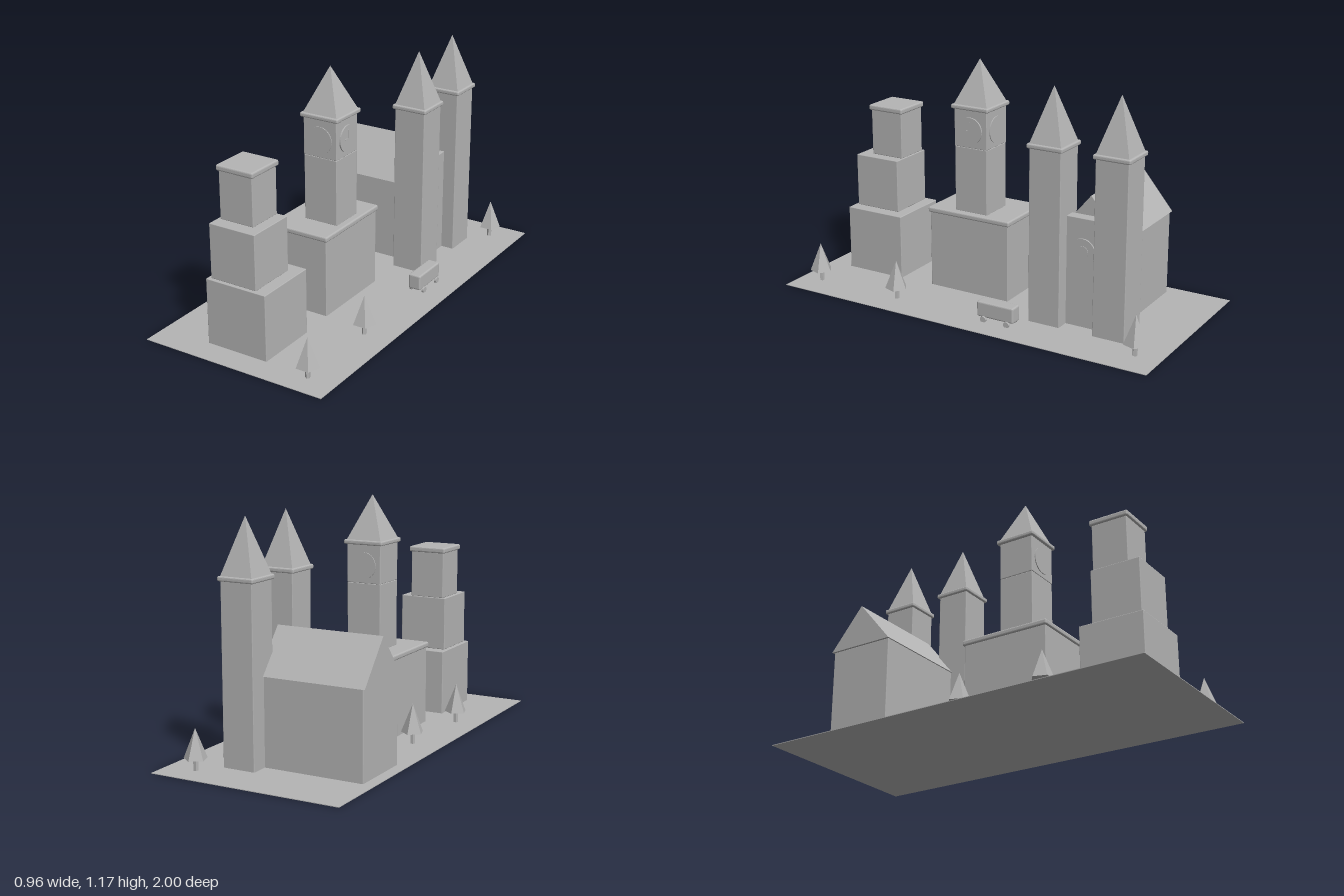
import * as THREE from 'three';
import { RoundedBoxGeometry } from 'three/addons/geometries/RoundedBoxGeometry.js';

const stone = new THREE.MeshStandardMaterial({ color: 0xb4b4b4, flatShading: true });
stone.name = 'stone';

function add(parent, name, geometry, x = 0, y = 0, z = 0) {
  const mesh = new THREE.Mesh(geometry, stone);
  mesh.name = name;
  mesh.position.set(x, y, z);
  parent.add(mesh);
  return mesh;
}

// Softly bevelled block given by its limits on each axis
function block(parent, name, [x0, x1], [y0, y1], [z0, z1], bevel = 0.003) {
  const geometry = new RoundedBoxGeometry(x1 - x0, y1 - y0, z1 - z0, 2, bevel);
  return add(parent, name, geometry, (x0 + x1) / 2, (y0 + y1) / 2, (z0 + z1) / 2);
}

// Square block centred on x, z
function column(parent, name, x, z, half, y0, y1, bevel) {
  return block(parent, name, [x - half, x + half], [y0, y1], [z - half, z + half], bevel);
}

function spire(parent, x, z, half, y0, y1) {
  const geometry = new THREE.ConeGeometry(half * Math.SQRT2, y1 - y0, 4).rotateY(Math.PI / 4);
  add(parent, 'spire', geometry, x, (y0 + y1) / 2, z);
}

function group(parent, name) {
  const g = new THREE.Group();
  g.name = name;
  parent.add(g);
  return g;
}

function createModel() {
  const model = group(new THREE.Group(), 'cityBlock');
  model.removeFromParent();

  add(model, 'ground', new THREE.BoxGeometry(0.96, 0.003, 2), 0, 0.0015, 0);

  // Stepped tower at the front
  const stepped = group(model, 'steppedTower');
  block(stepped, 'lowerTier', [-0.22, 0.105], [0, 0.33], [0.55, 0.873]);
  block(stepped, 'middleTier', [-0.202, 0.045], [0.33, 0.6], [0.607, 0.857]);
  block(stepped, 'upperTier', [-0.187, -0.007], [0.6, 0.835], [0.612, 0.793]);
  block(stepped, 'cap', [-0.197, 0.003], [0.833, 0.861], [0.602, 0.803], 0.008);

  // Clock tower on its broad base
  const clock = group(model, 'clockTower');
  const cx = -0.021, cz = 0.15;
  block(clock, 'base', [-0.212, 0.095], [0, 0.392], [-0.072, 0.372]);
  block(clock, 'baseCornice', [-0.221, 0.104], [0.39, 0.417], [-0.082, 0.381], 0.008);
  column(clock, 'shaft', cx, cz, 0.09, 0.415, 0.745);
  column(clock, 'clockStage', cx, cz, 0.091, 0.745, 0.935);
  column(clock, 'cornice', cx, cz, 0.104, 0.933, 0.955, 0.007);
  spire(clock, cx, cz, 0.092, 0.955, 1.17);
  for (const side of [1, -1]) {
    const face = new THREE.CylinderGeometry(0.066, 0.066, 0.008, 32).rotateX(Math.PI / 2);
    add(clock, 'clockFace', face, cx, 0.832, cz + side * 0.091);
  }
  const sideFace = new THREE.CylinderGeometry(0.066, 0.066, 0.012, 32).rotateZ(Math.PI / 2);
  add(clock, 'clockFace', sideFace, 0.071, 0.832, cz);
  add(clock, 'minuteHand', new THREE.BoxGeometry(0.004, 0.046, 0.006), 0.078, 0.853, cz);
  add(clock, 'hourHand', new THREE.BoxGeometry(0.004, 0.006, 0.032), 0.078, 0.832, cz + 0.014);

  // Church: hall, twin towers and the front wall between them
  const church = group(model, 'church');
  block(church, 'hall', [-0.424, 0.095], [0, 0.427], [-0.688, -0.362]);
  const gable = new THREE.Shape([[-0.17, 0], [0.17, 0], [0, 0.205]].map(p => new THREE.Vector2(...p)));
  const roof = new THREE.ExtrudeGeometry(gable, { depth: 0.54, bevelEnabled: false }).rotateY(Math.PI / 2);
  add(church, 'hallRoof', roof, -0.435, 0.425, -0.525);
  block(church, 'frontWall', [0.12, 0.176], [0, 0.54], [-0.62, -0.43]);
  const rose = new THREE.CylinderGeometry(0.065, 0.065, 0.012, 32).rotateZ(Math.PI / 2);
  add(church, 'roundWindow', rose, 0.177, 0.378, -0.525);
  add(church, 'windowBoss', new THREE.CylinderGeometry(0.03, 0.03, 0.004, 24).rotateZ(Math.PI / 2), 0.184, 0.378, -0.525);
  for (const z of [-0.357, -0.695]) {
    const tower = group(church, 'bellTower');
    column(tower, 'shaft', 0.161, z, 0.082, 0, 0.856);
    column(tower, 'cornice', 0.161, z, 0.093, 0.854, 0.877, 0.007);
    spire(tower, 0.161, z, 0.082, 0.876, 1.14);
  }

  // Five-sided trees
  for (const [x, z] of [[0.327, -0.873], [-0.33, -0.017], [-0.35, 0.437], [0.335, 0.418], [0.335, 0.884]]) {
    const tree = group(model, 'tree');
    add(tree, 'trunk', new THREE.CylinderGeometry(0.012, 0.012, 0.06, 5), x, 0.03, z);
    add(tree, 'foliage', new THREE.ConeGeometry(0.056, 0.142, 5).rotateY(Math.PI), x, 0.129, z);
  }

  // Parked bus
  const bus = group(model, 'bus');
  block(bus, 'body', [0.294, 0.358], [0.023, 0.1], [-0.258, -0.06], 0.008);
  for (const x of [0.292, 0.36]) {
    for (const z of [-0.225, -0.098]) {
      add(bus, 'wheel', new THREE.CylinderGeometry(0.015, 0.015, 0.012, 16).rotateZ(Math.PI / 2), x, 0.015, z);
    }
  }
  return model;
}

export { createModel };
